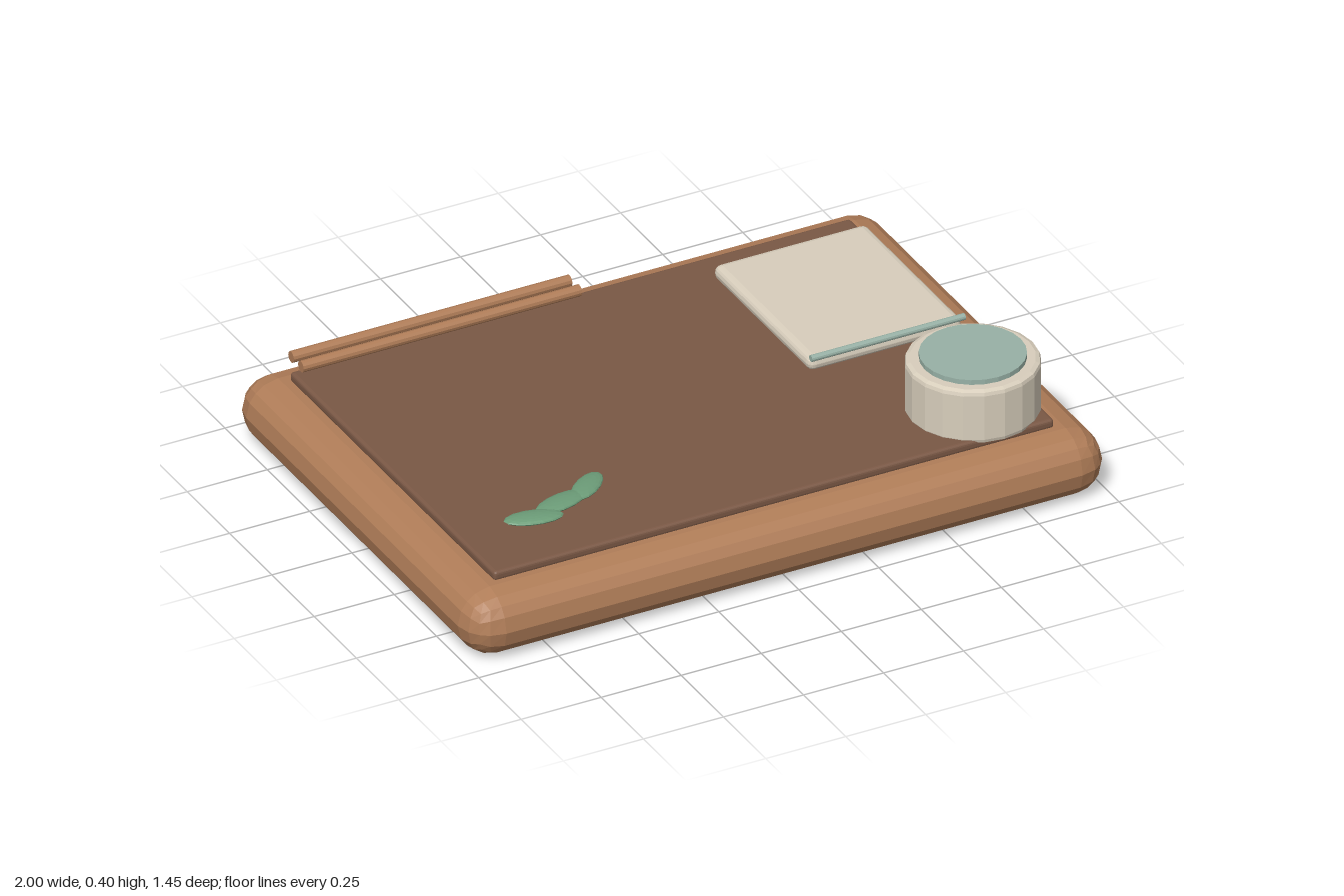
import * as THREE from 'three';
import { RoundedBoxGeometry } from 'three/addons/geometries/RoundedBoxGeometry.js';

export function createModel() {
  const model = new THREE.Group();
  model.name = 'deskTray';

  const material = (name, color) => {
    const m = new THREE.MeshStandardMaterial({ color, flatShading: true });
    m.name = name;
    return m;
  };
  const wood = material('wood', 0xb07d58);
  const darkWood = material('darkWood', 0x7a5845);
  const cream = material('cream', 0xd8cebc);
  const teal = material('teal', 0x98b1a6);
  const green = material('green', 0x6c9c78);

  const add = (name, geometry, mat, x, y, z) => {
    const mesh = new THREE.Mesh(geometry, mat);
    mesh.name = name;
    mesh.position.set(x, y, z);
    model.add(mesh);
    return mesh;
  };
  const rod = (name, mat, length, radius, x, y, z) => {
    const mesh = add(name, new THREE.CylinderGeometry(radius, radius, length, 12), mat, x, y, z);
    mesh.rotation.z = Math.PI / 2;
  };

  // Tray body and its dark inlay
  add('tray', new RoundedBoxGeometry(2, 0.2, 1.45, 2, 0.1), wood, 0, 0.1, 0);
  add('inlay', new RoundedBoxGeometry(1.75, 0.03, 1.21, 2, 0.01), darkWood, 0, 0.21, 0);

  // Round pot with softened rims, and its lid
  const profile = [
    [0, 0], [0.175, 0], [0.187, 0.005], [0.19, 0.015],
    [0.19, 0.155], [0.187, 0.165], [0.175, 0.17], [0, 0.17],
  ].map(([r, y]) => new THREE.Vector2(r, y));
  add('pot', new THREE.LatheGeometry(profile, 20), cream, 0.71, 0.212, 0.435);
  add('potLid', new THREE.CylinderGeometry(0.15, 0.15, 0.018, 24), teal, 0.71, 0.388, 0.435);

  // Note pad with a thin binding rod
  add('notePad', new RoundedBoxGeometry(0.48, 0.046, 0.575, 2, 0.022), cream, 0.61, 0.273, -0.175);
  rod('padBinding', teal, 0.48, 0.01, 0.61, 0.303, 0.12);

  // Pair of sticks at the back
  for (const z of [-0.547, -0.605]) rod('stick', wood, 0.87, 0.017, -0.435, 0.271, z);

  // Sprig of three flat leaves: x, z, half length, half width, turn
  const leaves = [
    [-0.67, 0.45, 0.086, 0.038, -0.22],
    [-0.565, 0.412, 0.09, 0.038, 0.25],
    [-0.462, 0.371, 0.08, 0.036, 0.68],
  ];
  for (const [x, z, length, width, turn] of leaves) {
    const leaf = add('leaf', new THREE.SphereGeometry(1, 14, 10), green, x, 0.263, z);
    leaf.scale.set(length, 0.011, width);
    leaf.rotation.y = turn;
  }

  return model;
}
